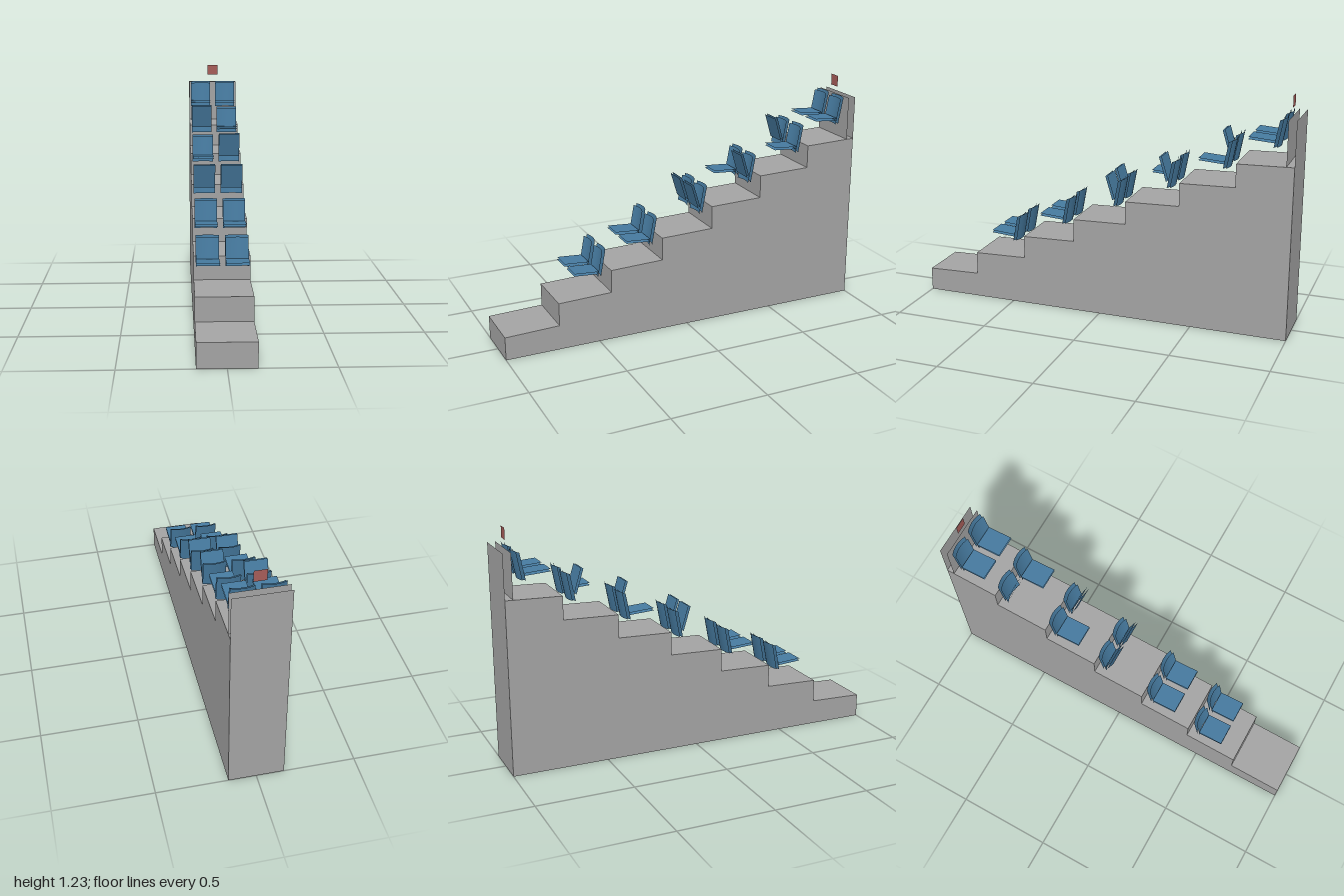
import * as THREE from 'three';

const concrete = new THREE.MeshStandardMaterial({ color: 0xa3a3a3, side: THREE.DoubleSide });
concrete.name = 'concrete grey';
const seatBlue = new THREE.MeshStandardMaterial({ color: 0x467a9f, side: THREE.DoubleSide });
seatBlue.name = 'seat blue';
const signRed = new THREE.MeshStandardMaterial({ color: 0xa55c58, side: THREE.DoubleSide });
signRed.name = 'sign red';

const WIDTH = 0.28;
const STEPS = 7;
const DEPTH = 2 / STEPS;
const RISE = 0.1285;

// Thin sheet running from a lower to an upper [z, y] edge, bowed back by sag
function sheet(name, material, lower, upper, width, sag = 0) {
  const geo = new THREE.PlaneGeometry(width, 1, sag ? 6 : 1, 1);
  const p = geo.attributes.position;
  for (let i = 0; i < p.count; i++) {
    const t = p.getY(i) + 0.5;
    const u = p.getX(i) / (width / 2);
    p.setY(i, THREE.MathUtils.lerp(lower[1], upper[1], t));
    p.setZ(i, THREE.MathUtils.lerp(lower[0], upper[0], t) - sag * (1 - u * u));
  }
  geo.computeVertexNormals();
  const mesh = new THREE.Mesh(geo, material);
  mesh.name = name;
  return mesh;
}

// Solid flight of steps with slightly sloping treads
function createTerrace() {
  const s = new THREE.Shape();
  s.moveTo(-1, 0);
  for (let i = 0; i < STEPS; i++) {
    s.lineTo(-1 + i * DEPTH, 0.123 + i * RISE);
    s.lineTo(-1 + (i + 1) * DEPTH, 0.131 + i * RISE);
  }
  s.lineTo(1, 0);
  const geo = new THREE.ExtrudeGeometry(s, { depth: WIDTH, bevelEnabled: false });
  geo.rotateY(Math.PI / 2);
  geo.translate(-WIDTH / 2, 0, 0);
  const mesh = new THREE.Mesh(geo, concrete);
  mesh.name = 'terrace';
  return mesh;
}

// Seat whose origin is the pan hinge; the pan can be tipped up
function createSeat(folded) {
  const w = 0.114;
  const seat = new THREE.Group();
  seat.add(
    sheet('seatBackFront', seatBlue, [0.007, -0.035], [-0.019, 0.102], w, 0.012),
    sheet('seatBackRear', seatBlue, [-0.009, -0.033], [-0.036, 0.11], w, 0.012),
  );
  const pan = new THREE.Group();
  pan.name = 'seatPan';
  pan.add(
    sheet('panTop', seatBlue, [0.132, 0], [0, 0], w),
    sheet('panUnderside', seatBlue, [0.132, -0.012], [0, -0.012], w),
  );
  pan.rotation.x = THREE.MathUtils.degToRad(folded ? -73 : -4);
  seat.add(pan);
  return seat;
}

export function createModel() {
  const model = new THREE.Group();
  model.name = 'seatingStand';
  model.add(createTerrace());

  // Back wall made of an inner and an outer sheet
  model.add(
    sheet('backWallOuter', concrete, [-1, 0.9], [-1, 1.13], WIDTH),
    sheet('backWallInner', concrete, [-0.96, 0.9], [-0.96, 1.13], WIDTH),
  );

  // Rows of paired seats, from front to back: [right folded, left folded]
  const rows = [[false, false], [false, false], [true, true], [false, true], [true, false], [false, false]];
  rows.forEach((pair, r) => {
    const z = r === 5 ? -0.898 : 0.49 - r * DEPTH;
    pair.forEach((folded, k) => {
      const seat = createSeat(folded);
      seat.name = `row${r + 1}${k ? 'Left' : 'Right'}Seat`;
      seat.position.set(k ? 0.071 : -0.073, 0.38 + r * RISE, z);
      model.add(seat);
    });
  });

  // Small square marker above the wall
  model.add(sheet('marker', signRed, [-0.957, 1.17], [-0.957, 1.229], 0.062));
  return model;
}
